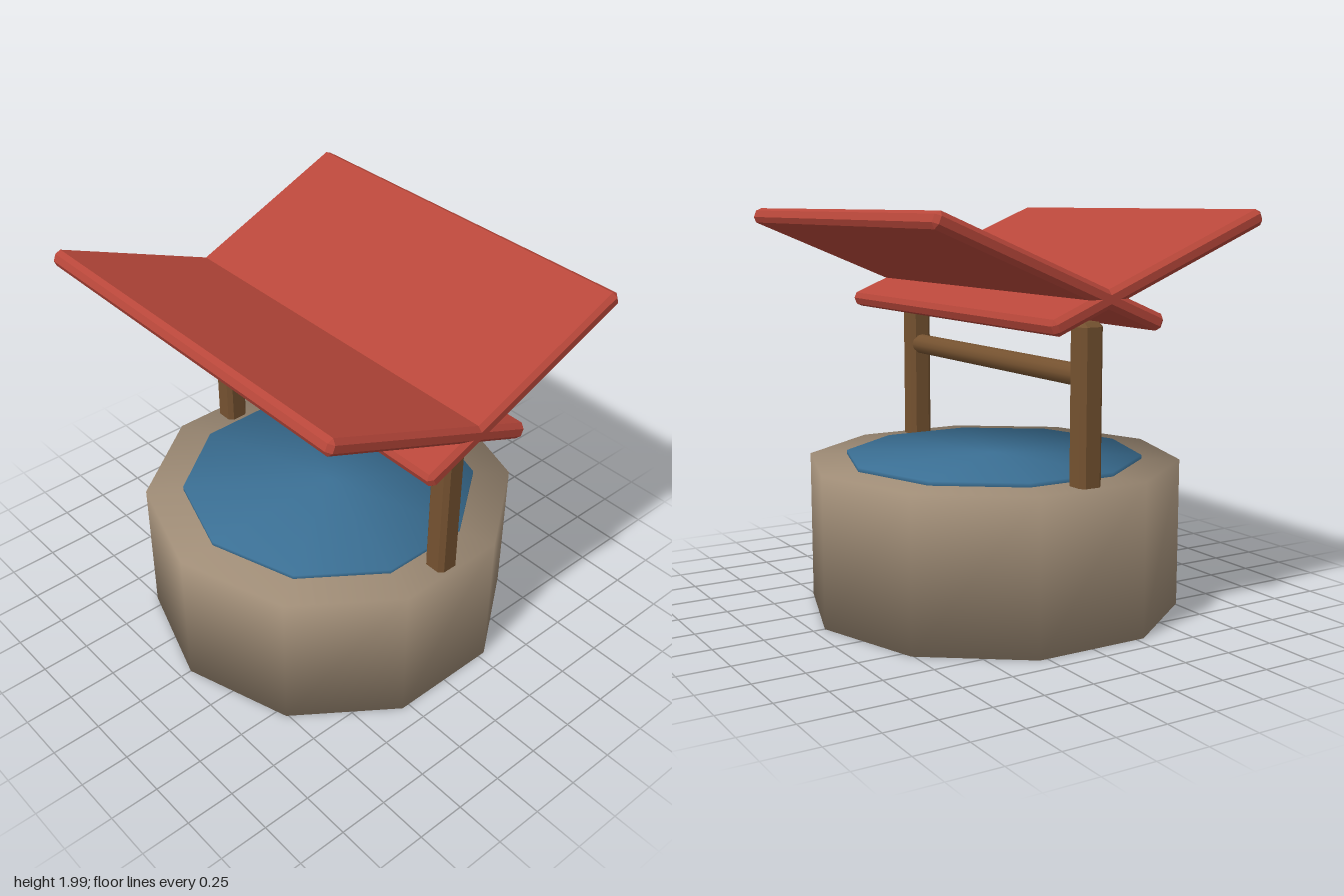
import * as THREE from 'three';
import { ConvexGeometry } from 'three/addons/geometries/ConvexGeometry.js';

const material = (name, color) => Object.assign(new THREE.MeshStandardMaterial({ color }), { name });

// Box with every edge and corner chamfered by c
function chamferBox(w, h, d, c) {
  const points = [];
  for (const x of [-1, 1]) for (const y of [-1, 1]) for (const z of [-1, 1]) {
    for (let axis = 0; axis < 3; axis++) {
      const inset = [c, c, c];
      inset[axis] = 0;
      points.push(new THREE.Vector3(
        x * (w / 2 - inset[0]), y * (h / 2 - inset[1]), z * (d / 2 - inset[2])));
    }
  }
  return new ConvexGeometry(points);
}

// Ten-sided drum whose caps and sides share softened corner normals
function softDrum(radius, height) {
  const geo = new THREE.CylinderGeometry(radius, radius, height, 10);
  const pos = geo.attributes.position;
  const n = new THREE.Vector3();
  for (let i = 0; i < pos.count; i++) {
    n.set(1.19 * pos.getX(i) / radius, Math.sign(pos.getY(i)), 1.19 * pos.getZ(i) / radius).normalize();
    geo.attributes.normal.setXYZ(i, n.x, n.y, n.z);
  }
  return geo;
}

export function createModel() {
  const model = new THREE.Group();
  model.name = 'well';
  const stone = material('stone', 0xa08d77);
  const water = material('water', 0x3b7095);
  const wood = material('wood', 0x755230);
  const red = material('roofRed', 0xb8473a);

  const add = (name, geo, mat, x, y, z) => {
    const mesh = new THREE.Mesh(geo, mat);
    mesh.name = name;
    mesh.position.set(x, y, z);
    model.add(mesh);
    return mesh;
  };

  // Stone base and the water disc on top
  add('stoneBase', softDrum(0.94, 0.75), stone, 0, 0.375, 0);
  add('waterSurface', softDrum(0.75, 0.04), water, 0, 0.75, 0);

  // Posts and the crossbeam between them
  for (const side of [-1, 1]) {
    add(side > 0 ? 'leftPost' : 'rightPost',
      chamferBox(0.12, 1.495, 0.12, 0.022), wood, side * 0.815, 0.7525, 0);
  }
  const beam = add('crossbeam', new THREE.CylinderGeometry(0.053, 0.053, 1.63, 12), wood, 0, 1.253, 0);
  beam.rotation.z = Math.PI / 2;

  // Two roof boards crossing above the posts, rising outward
  for (const side of [-1, 1]) {
    const board = add(side > 0 ? 'frontRoofBoard' : 'backRoofBoard',
      chamferBox(2, 0.08, 1.25, 0.022), red, 0, 1.726, side * 0.285);
    board.rotation.x = -side * THREE.MathUtils.degToRad(22.4);
  }
  return model;
}
